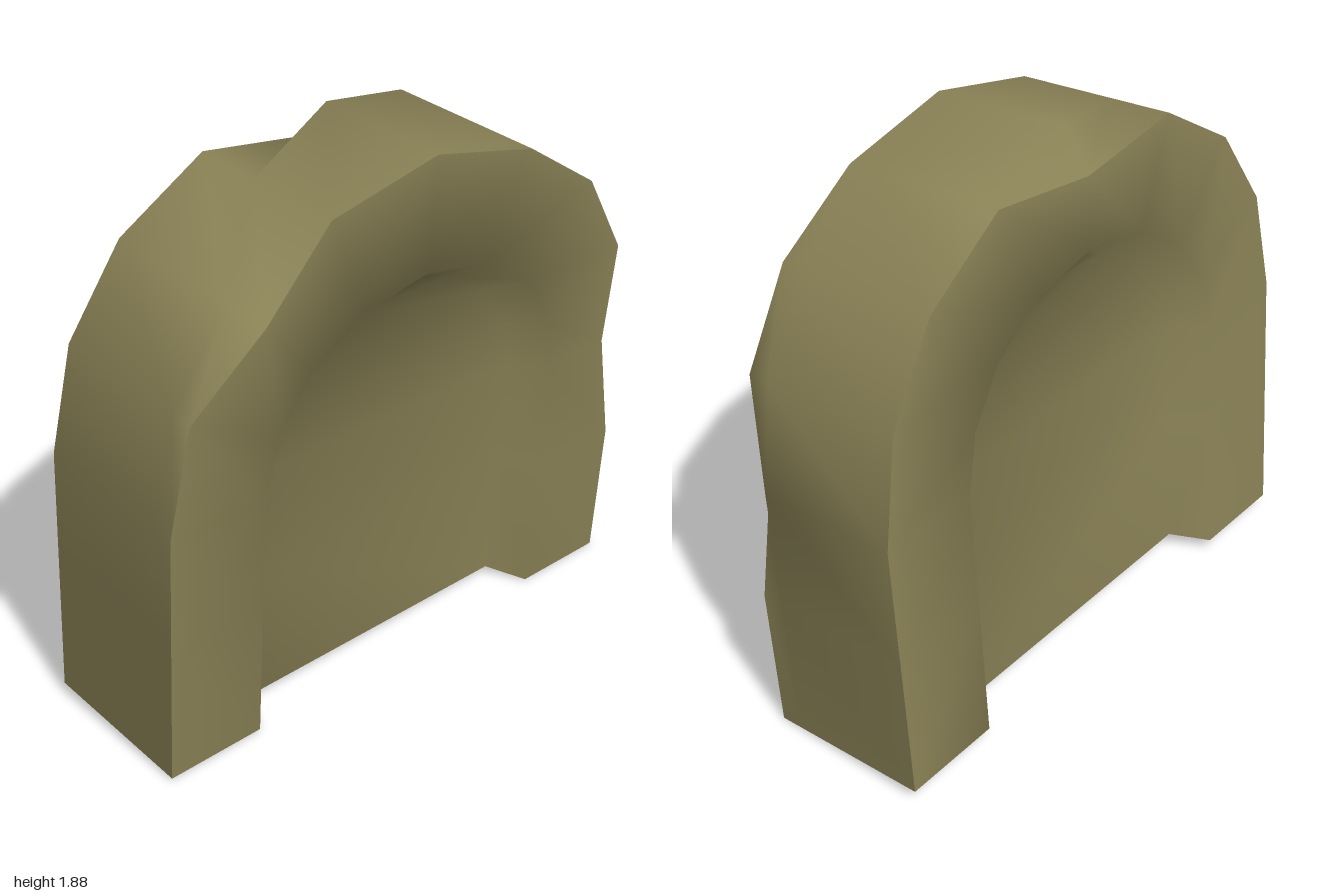
import * as THREE from 'three';

// Half outlines from the bottom of the left side up to the crown
const OUTER = [[0.98, 0], [0.98, 0.5], [0.98, 0.91], [0.91, 1.27], [0.72, 1.56], [0.41, 1.755], [0, 1.845]];
const LIP = [[0.625, 0], [0.625, 0.5], [0.625, 0.9], [0.58, 1.1], [0.46, 1.28], [0.26, 1.41], [0, 1.46]];
const PANEL = [[0.55, 0.018], [0.55, 0.5], [0.55, 0.88], [0.51, 1.05], [0.4, 1.21], [0.22, 1.32], [0, 1.37]];

// Mirror a half outline into a full arch at depth z; chips move single points
function ring(half, z, chips = {}) {
  const mirrored = half.slice(0, -1).reverse().map(([x, y]) => [-x, y]);
  return [...half, ...mirrored].map(([x, y], i) => chips[i] || [x, y, z]);
}

// Smooth normals in which every face counts alike, whatever its size
function softNormals(geo) {
  const pos = geo.attributes.position, index = geo.index.array;
  const sums = Array.from({ length: pos.count }, () => new THREE.Vector3());
  const tri = new THREE.Triangle(), normal = new THREE.Vector3();
  for (let i = 0; i < index.length; i += 3) {
    const corners = [index[i], index[i + 1], index[i + 2]];
    tri.setFromAttributeAndIndices(pos, ...corners);
    tri.getNormal(normal);
    corners.forEach((c) => sums[c].add(normal));
  }
  const flat = sums.flatMap((v) => v.normalize().toArray());
  geo.setAttribute('normal', new THREE.Float32BufferAttribute(flat, 3));
}

// Skin successive arches, optionally closing the last one across
function loft(rings, { cap = false, flip = false } = {}) {
  const n = rings[0].length, index = [];
  const quad = (a, b, c, d) => {
    for (const t of [[a, b, c], [a, c, d]]) {
      if (new Set(t).size === 3) index.push(...(flip ? t.reverse() : t));
    }
  };
  for (let r = 0; r < rings.length - 1; r++) {
    for (let i = 0; i < n - 1; i++) {
      const a = r * n + i, b = a + n;
      quad(a, a + 1, b + 1, b);
    }
  }
  if (cap) {
    const o = (rings.length - 1) * n;
    for (let i = 0; i < (n - 1) / 2; i++) quad(o + i, o + i + 1, o + n - 2 - i, o + n - 1 - i);
  }
  const geo = new THREE.BufferGeometry();
  geo.setAttribute('position', new THREE.Float32BufferAttribute(rings.flat(2), 3));
  geo.setIndex(index);
  softNormals(geo);
  return geo;
}

export function createModel() {
  const stone = new THREE.MeshStandardMaterial({ color: 0x8a8256, side: THREE.DoubleSide });
  stone.name = 'mossy stone';
  const group = new THREE.Group();
  group.name = 'archedStone';
  const add = (name, geo) => {
    const mesh = new THREE.Mesh(geo, stone);
    mesh.name = name;
    group.add(mesh);
  };

  const depth = 0.29, recess = 0.16;
  // Chipped edges: left side and right shoulder in front, crown at the back
  const front = ring(OUTER, depth, { 2: [0.885, 0.91, depth], 3: [0.905, 1.27, depth], 8: [-0.64, 1.49, depth] });
  const back = ring(OUTER, -depth, { 6: [0, 1.7, -depth] });
  // Where the chips end on the wall
  const chipEnds = ring(OUTER, 0.21, { 6: [0, 1.845, -0.2], 7: [-0.41, 1.755, -0.05] });

  // Outer wall, open underneath
  add('outerWall', loft([back, chipEnds, front]));
  // Raised rim and sunken panel on each face
  add('frontFace', loft([front, ring(LIP, depth), ring(PANEL, recess)], { cap: true }));
  add('backFace', loft([back, ring(LIP, -depth), ring(PANEL, -recess)], { cap: true, flip: true }));

  // The stone has settled into a slight lean and turn
  group.rotation.set(0.064, -0.07, 0);
  group.position.set(0, 0.023, -0.04);
  return group;
}
